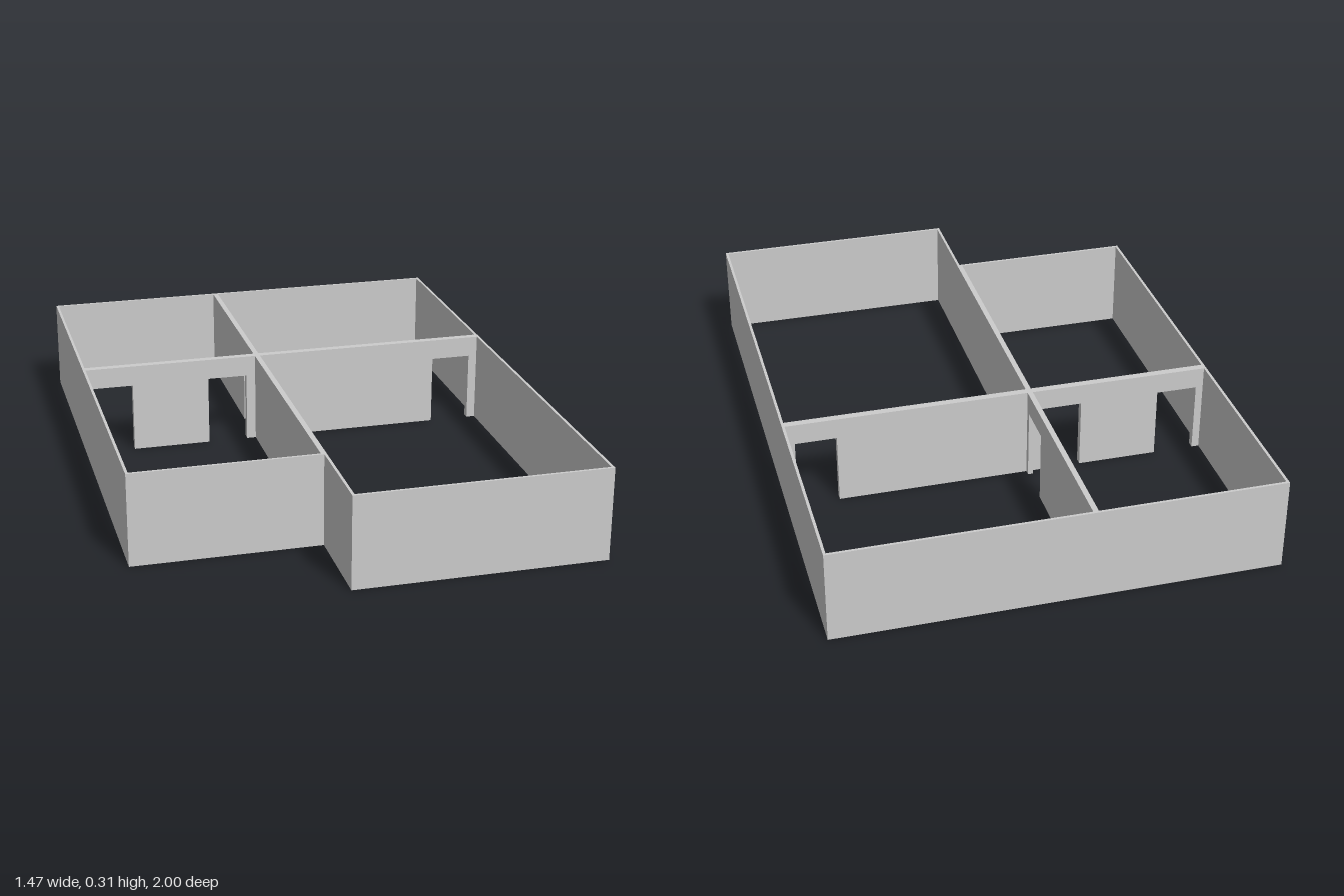
import * as THREE from 'three';

const HEIGHT = 0.315;
const DOOR_HEIGHT = 0.243;
const T = 0.009; // outer wall thickness

// Outer limits of the plan
const X = 0.734, Z = 1, FRONT_LEFT = 0.676;
// Lengthwise dividing wall and crosswise dividing wall
const MID = -0.106;
const CROSS_BACK = -0.28, CROSS_FRONT = -0.255;

const material = new THREE.MeshStandardMaterial({ color: 0xcccccc, flatShading: true });

// Upright wall outline with doorways cut up from the floor, pushed out to its thickness
function wallGeometry(from, to, thickness, doors) {
  const outline = new THREE.Shape();
  outline.moveTo(from, 0);
  for (const [a, b] of doors) {
    outline.lineTo(a, 0);
    outline.lineTo(a, DOOR_HEIGHT);
    outline.lineTo(b, DOOR_HEIGHT);
    outline.lineTo(b, 0);
  }
  outline.lineTo(to, 0);
  outline.lineTo(to, HEIGHT);
  outline.lineTo(from, HEIGHT);
  outline.closePath();
  return new THREE.ExtrudeGeometry(outline, { depth: thickness, bevelEnabled: false });
}

// Wall running along x, between z0 and z1
function wallAlongX(name, x0, x1, z0, z1, doors = []) {
  const mesh = new THREE.Mesh(wallGeometry(x0, x1, z1 - z0, doors), material);
  mesh.position.z = z0;
  mesh.name = name;
  return mesh;
}

// Wall running along z, between x0 and x1; the outline is drawn along -z and turned
function wallAlongZ(name, z0, z1, x0, x1, doors = []) {
  const flipped = doors.map(([a, b]) => [-b, -a]).reverse();
  const mesh = new THREE.Mesh(wallGeometry(-z1, -z0, x1 - x0, flipped), material);
  mesh.rotation.y = Math.PI / 2;
  mesh.position.x = x0;
  mesh.name = name;
  return mesh;
}

export function createModel() {
  const model = new THREE.Group();
  model.name = 'floorPlan';

  // Outer walls
  const outer = new THREE.Group();
  outer.name = 'outerWalls';
  outer.add(
    wallAlongZ('rightSideWall', -Z, FRONT_LEFT, -X, -X + T),
    wallAlongZ('leftSideWall', -Z, Z, X - T, X),
    wallAlongX('backWall', -X + T, X - T, -Z, -Z + T),
    wallAlongX('shortRoomFrontWall', -X + T, MID - T, FRONT_LEFT - T, FRONT_LEFT),
    wallAlongX('longRoomFrontWall', MID + T, X - T, Z - T, Z),
    wallAlongZ('projectingSideWall', FRONT_LEFT, Z, MID, MID + T),
  );

  // Dividing walls with doorways
  const inner = new THREE.Group();
  inner.name = 'dividingWalls';
  inner.add(
    wallAlongZ('lengthwiseWall', -Z + T, FRONT_LEFT, MID - T, MID + T, [[-0.44, -0.3]]),
    wallAlongX('crossWallShortSide', -X + T, MID - T, CROSS_BACK, CROSS_FRONT,
      [[-0.7, -0.56], [-0.287, -0.147]]),
    wallAlongX('crossWallLongSide', MID + T, X - T, CROSS_BACK, CROSS_FRONT, [[0.555, 0.695]]),
  );

  model.add(outer, inner);
  return model;
}
